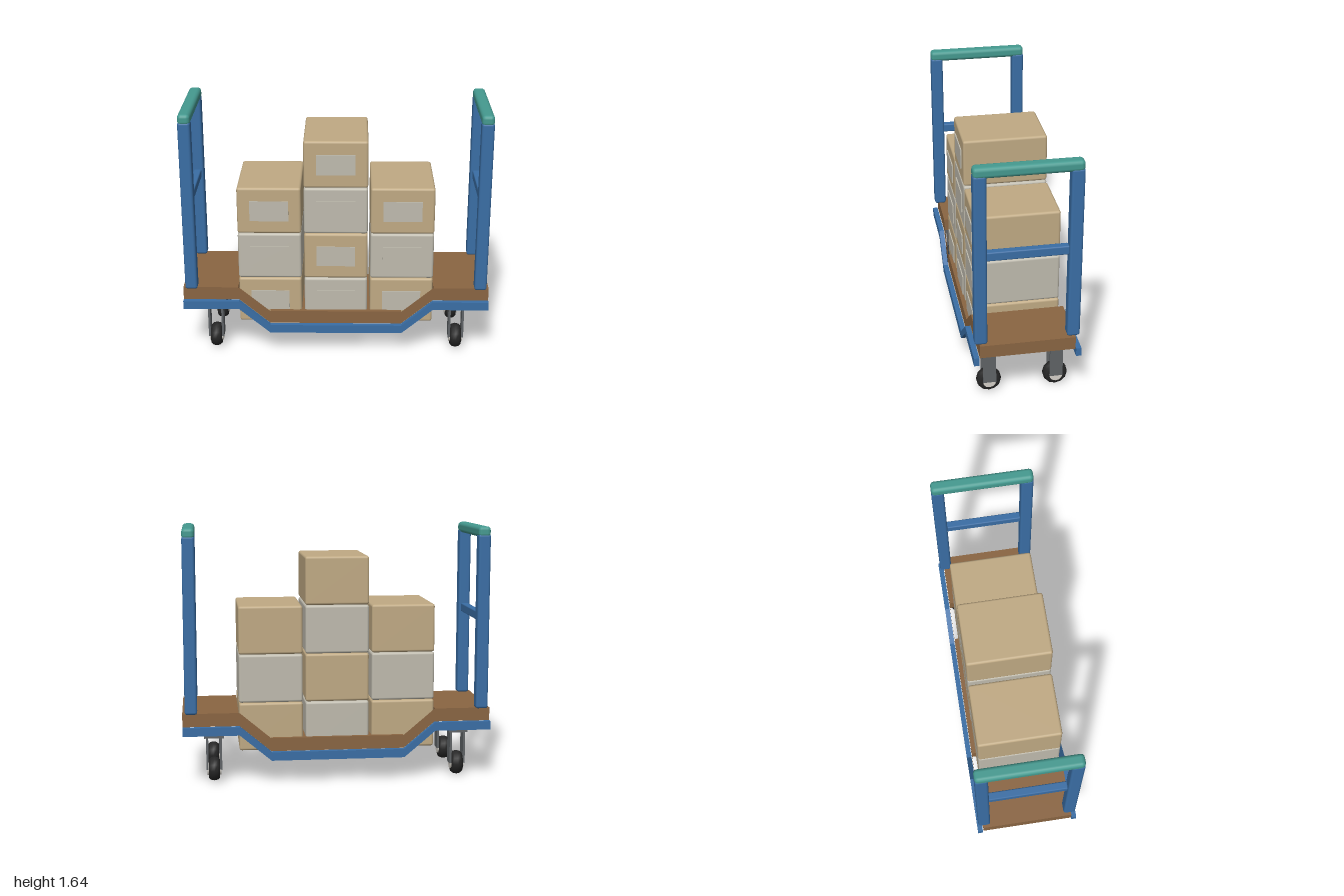
import * as THREE from 'three';
import { RoundedBoxGeometry } from 'three/addons/geometries/RoundedBoxGeometry.js';

const mat = (name, color, side = THREE.FrontSide) => {
  const m = new THREE.MeshStandardMaterial({ color, side });
  m.name = name;
  return m;
};

export function createModel() {
  const blue = mat('blue frame', 0x3a6ea5);
  const teal = mat('teal grip', 0x459a90);
  const brown = mat('brown deck', 0x8a6542);
  const tan = mat('tan cardboard', 0xc0aa84);
  const grey = mat('pale grey cardboard', 0xbfbbae);
  const steel = mat('dark steel', 0x5f6366);
  const rubber = mat('black rubber', 0x262626);
  const hubMat = mat('light hub', 0xd4d0c8);

  const root = new THREE.Group();
  root.name = 'platformCart';

  const add = (parent, name, geometry, material, x = 0, y = 0, z = 0) => {
    const mesh = new THREE.Mesh(geometry, material);
    mesh.name = name;
    mesh.position.set(x, y, z);
    parent.add(mesh);
    return mesh;
  };
  const box = (w, h, d) => new THREE.BoxGeometry(w, h, d);

  // Dropped-centre side profile, as a band of the given thickness
  const band = (top, thick) => {
    const line = [[-1, top], [-0.635, top], [-0.432, top - 0.171],
      [0.432, top - 0.171], [0.635, top], [1, top]];
    const lower = line.map(([x, y]) => [x, y - thick]);
    return new THREE.Shape([...lower, ...line.reverse()].map(([x, y]) => new THREE.Vector2(x, y)));
  };

  // Deck: three flat panels, joined by open slopes that only have side faces
  const deck = new THREE.Group();
  deck.name = 'deck';
  root.add(deck);
  add(deck, 'deckCentre', box(0.864, 0.085, 0.594), brown, 0, 0.2485, 0);
  for (const s of [-1, 1]) {
    add(deck, 'deckEnd', box(0.36, 0.085, 0.594), brown, s * 0.82, 0.4195, 0);
    const side = add(deck, 'deckSideFace', new THREE.ShapeGeometry(band(0.462, 0.085)), brown, 0, 0, s * 0.299);
    if (s < 0) side.rotation.y = Math.PI;
  }

  // Side rails under the deck edges
  const railGeo = new THREE.ExtrudeGeometry(band(0.377, 0.055), { depth: 0.033, bevelEnabled: false });
  add(root, 'frontRail', railGeo, blue, 0, 0, 0.302);
  add(root, 'backRail', railGeo, blue, 0, 0, -0.335);

  // Push handles at both ends
  const postGeo = new RoundedBoxGeometry(0.08, 1.135, 0.08, 2, 0.016);
  const gripGeo = new RoundedBoxGeometry(0.08, 0.07, 0.654, 2, 0.024);
  for (const s of [-1, 1]) {
    const handle = new THREE.Group();
    handle.name = s > 0 ? 'leftHandle' : 'rightHandle';
    handle.position.x = s * 0.944;
    root.add(handle);
    for (const t of [-1, 1]) add(handle, 'handlePost', postGeo, blue, 0, 1.0275, t * 0.287);
    add(handle, 'handleCrossbar', new RoundedBoxGeometry(0.05, 0.058, 0.5, 1, 0.008), blue, 0, 1.06, 0);
    add(handle, 'handleGrip', gripGeo, teal, 0, 1.61, 0);
  }

  // Casters: plate, two fork legs, tyre and hub
  const tyreGeo = new THREE.LatheGeometry(
    [[0.04, -0.036], [0.062, -0.036], [0.075, -0.022], [0.08, 0], [0.075, 0.022], [0.062, 0.036], [0.04, 0.036]]
      .map(([r, y]) => new THREE.Vector2(r, y)), 12).rotateZ(Math.PI / 2);
  const hubGeo = new THREE.CylinderGeometry(0.042, 0.042, 0.088, 12).rotateZ(Math.PI / 2);
  for (const sx of [-1, 1]) for (const sz of [-1, 1]) {
    const caster = new THREE.Group();
    caster.name = 'caster';
    caster.position.set(sx * 0.8, 0, sz * 0.214);
    root.add(caster);
    add(caster, 'casterPlate', box(0.126, 0.028, 0.126), steel, 0, 0.308, 0);
    for (const t of [-1, 1]) add(caster, 'casterFork', box(0.014, 0.22, 0.083), steel, t * 0.044, 0.19, 0);
    add(caster, 'tyre', tyreGeo, rubber, 0, 0.08, 0);
    add(caster, 'hub', hubGeo, hubMat, 0, 0.08, 0);
  }

  // Stacked cartons in alternating colours, each with a front label
  const cartonGeo = new RoundedBoxGeometry(0.412, 0.312, 0.54, 2, 0.016);
  const labelGeo = box(0.25, 0.135, 0.008);
  [[-0.43, 3, 0], [0, 4, 1], [0.43, 3, 0]].forEach(([x, count, shift]) => {
    for (let i = 0; i < count; i++) {
      const y = 0.362 + i * 0.3138;
      add(root, 'carton', cartonGeo, (i + shift) % 2 ? grey : tan, x, y, 0);
      add(root, 'cartonLabel', labelGeo, grey, x, y, 0.273);
    }
  });

  return root;
}
